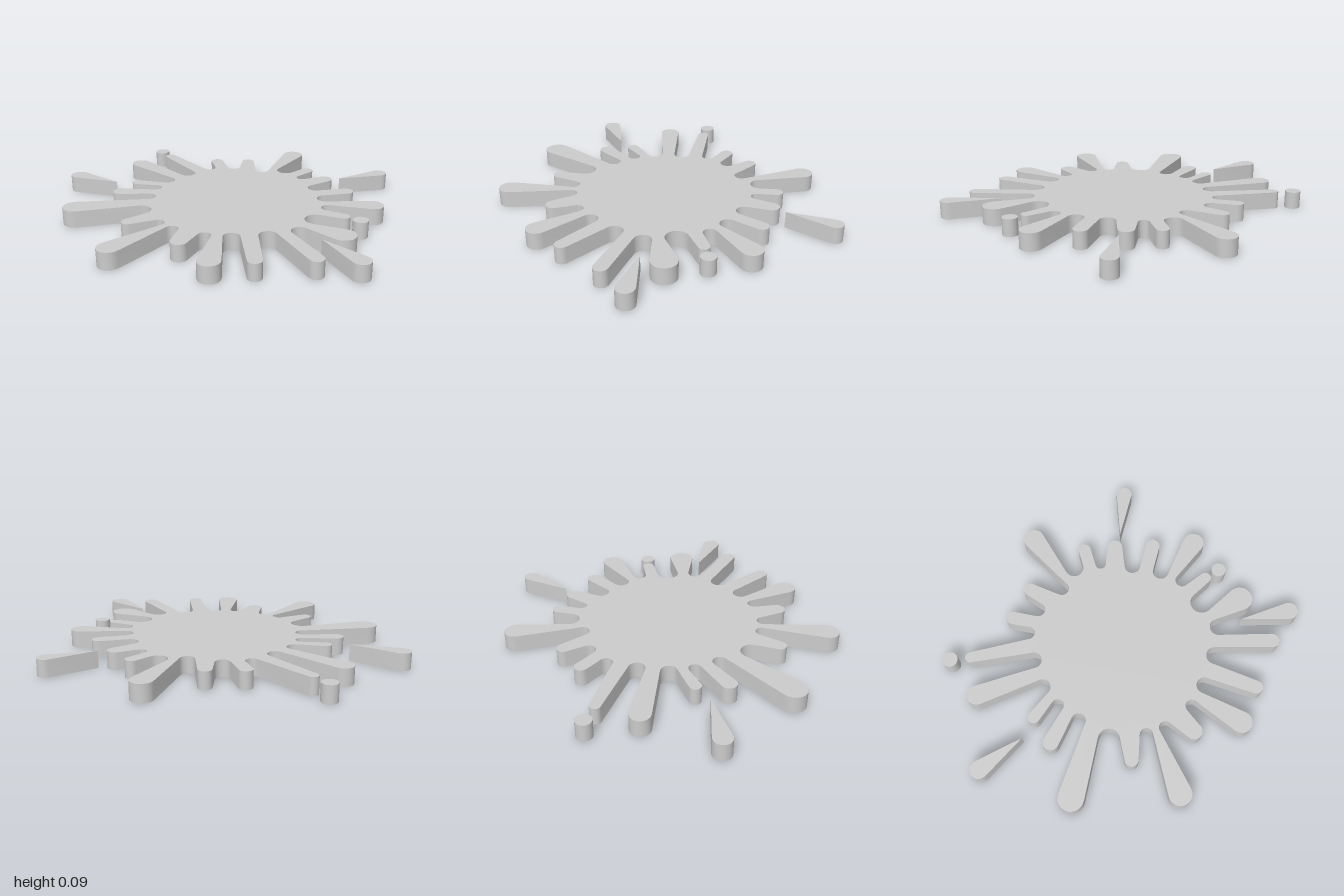
import * as THREE from 'three';
import { toCreasedNormals } from 'three/addons/utils/BufferGeometryUtils.js';

const HEIGHT = 0.095;
const material = new THREE.MeshStandardMaterial({ color: 0xcccccc });

// Each arm: rounded tip [x, z, r], then the rounded valley that follows it [x, z, r]
const arms = [
  [[-0.05, -0.625, 0.035], [0.013, -0.508, 0.03]],
  [[0.125, -0.59, 0.043], [0.185, -0.44, 0.045]],
  [[0.34, -0.53, 0.04], [0.33, -0.355, 0.045]],
  [[0.575, -0.475, 0.06], [0.43, -0.265, 0.038]],
  [[0.565, -0.24, 0.032], [0.49, -0.1, 0.063]],
  [[0.71, -0.055, 0.07], [0.53, 0.07, 0.048]],
  [[0.79, 0.238, 0.04], [0.455, 0.225, 0.05]],
  [[0.605, 0.465, 0.038], [0.34, 0.37, 0.045]],
  [[0.46, 0.625, 0.06], [0.235, 0.46, 0.036]],
  [[0.2, 0.595, 0.045], [0.06, 0.53, 0.036]],
  [[0.02, 0.887, 0.063], [-0.05, 0.535, 0.036]],
  [[-0.168, 0.64, 0.037], [-0.25, 0.5, 0.06]],
  [[-0.53, 0.735, 0.07], [-0.375, 0.35, 0.04]],
  [[-0.55, 0.42, 0.043], [-0.46, 0.235, 0.035]],
  [[-0.6, 0.26, 0.033], [-0.51, 0.11, 0.045]],
  [[-0.863, 0.045, 0.055], [-0.515, -0.055, 0.045]],
  [[-0.845, -0.178, 0.03], [-0.5, -0.22, 0.036]],
  [[-0.56, -0.335, 0.037], [-0.41, -0.34, 0.04]],
  [[-0.42, -0.475, 0.037], [-0.245, -0.425, 0.04]],
  [[-0.315, -0.785, 0.06], [-0.14, -0.53, 0.053]],
];

// Detached drops: round end [x, z, r] and pointed end [x, z, 0]
const teardrops = [
  [[0.285, -0.913, 0.045], [0.18, -0.66, 0]],
  [[0.948, 0.1, 0.05], [0.67, 0.065, 0]],
  [[-0.95, 0.445, 0.05], [-0.69, 0.35, 0]],
];

const dots = [[-0.957, -0.2, 0.043], [0.655, -0.265, 0.042]];

// Outline running counter-clockwise round a chain of circles joined by tangents;
// a negative radius makes the outline pass on the inner side (a concave valley)
function beltOutline(circles) {
  const n = circles.length;
  const points = [];
  const contact = circles.map(([x, z, r], i) => {
    const [x2, z2, r2] = circles[(i + 1) % n];
    const dx = x2 - x, dy = z - z2;
    const k = THREE.MathUtils.clamp((r - r2) / Math.hypot(dx, dy), -1, 1);
    return Math.atan2(dy, dx) - Math.acos(k);
  });
  circles.forEach(([x, z, r], i) => {
    if (r === 0) {
      points.push(new THREE.Vector2(x, -z));
      return;
    }
    const start = contact[(i + n - 1) % n];
    const sign = Math.sign(r);
    let turn = THREE.MathUtils.euclideanModulo(sign * (contact[i] - start), Math.PI * 2);
    if (turn > Math.PI * 1.6) turn -= Math.PI * 2;
    const steps = 10;
    for (let s = 0; s <= steps; s++) {
      const a = start + (sign * turn * s) / steps;
      points.push(new THREE.Vector2(x + r * Math.cos(a), -z + r * Math.sin(a)));
    }
  });
  return points;
}

// Slab standing on the ground with smooth walls and sharp rims
function slab(name, circles) {
  const shape = new THREE.Shape(beltOutline(circles));
  const geometry = new THREE.ExtrudeGeometry(shape, { depth: HEIGHT, bevelEnabled: false });
  geometry.rotateX(-Math.PI / 2);
  const mesh = new THREE.Mesh(toCreasedNormals(geometry, 0.7), material);
  mesh.name = name;
  return mesh;
}

export function createModel() {
  const group = new THREE.Group();
  group.name = 'splat';

  // Main puddle with all its radiating arms
  const chain = arms.flatMap(([tip, [x, z, r]]) => [tip, [x, z, -r]]).reverse();
  group.add(slab('splatBody', chain));

  // Flung teardrops
  teardrops.forEach((drop, i) => group.add(slab(`teardrop${i + 1}`, drop)));

  // Small round droplets
  dots.forEach(([x, z, r], i) => {
    const dot = new THREE.Mesh(new THREE.CylinderGeometry(r, r, HEIGHT, 20), material);
    dot.position.set(x, HEIGHT / 2, z);
    dot.name = `droplet${i + 1}`;
    group.add(dot);
  });

  return group;
}
